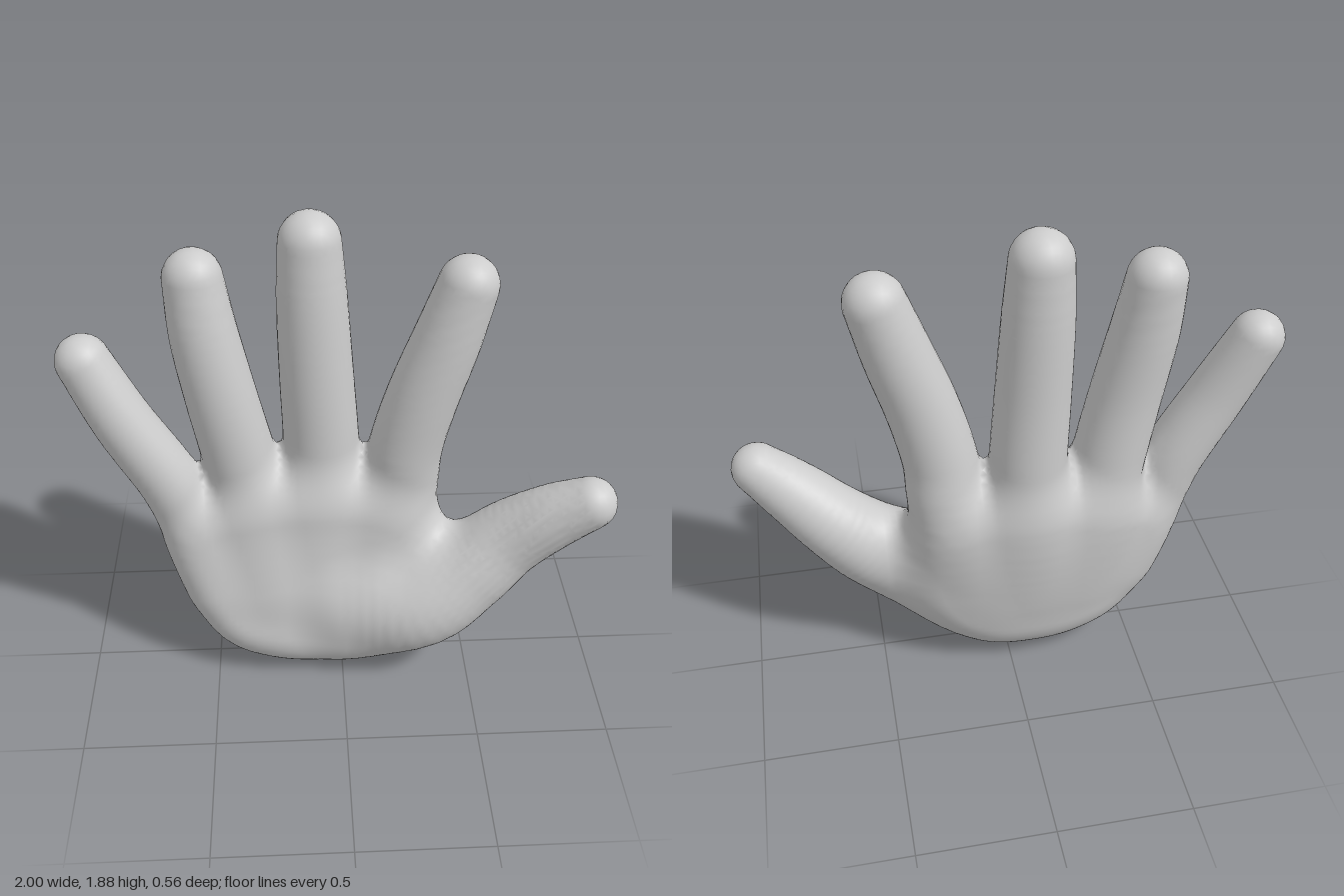
import * as THREE from 'three';
import { mergeVertices } from 'three/addons/utils/BufferGeometryUtils.js';

// Fingers as chains of [x, y, z, radius], from tip to a root sunk in the palm
const FINGERS = {
  littleFinger: [[-0.9, 1.362, -0.07, 0.098], [-0.785, 1.12, -0.048, 0.11], [-0.65, 0.87, -0.045, 0.117], [-0.592, 0.7, -0.045, 0.112], [-0.48, 0.4, -0.03, 0.1]],
  ringFinger: [[-0.498, 1.655, -0.105, 0.105], [-0.475, 1.45, -0.09, 0.121], [-0.43, 1.2, -0.08, 0.13], [-0.382, 0.95, -0.085, 0.136], [-0.34, 0.7, -0.09, 0.137], [-0.26, 0.4, -0.03, 0.12]],
  middleFinger: [[-0.1, 1.768, -0.125, 0.11], [-0.095, 1.55, -0.117, 0.125], [-0.083, 1.25, -0.11, 0.135], [-0.07, 0.97, -0.11, 0.142], [-0.07, 0.7, -0.105, 0.144], [-0.07, 0.4, -0.04, 0.12]],
  indexFinger: [[0.435, 1.632, -0.055, 0.107], [0.37, 1.42, -0.05, 0.122], [0.298, 1.2, -0.05, 0.131], [0.245, 0.98, -0.06, 0.137], [0.22, 0.75, -0.075, 0.143], [0.13, 0.45, -0.03, 0.12]],
  thumb: [[0.903, 0.853, 0.167, 0.098], [0.78, 0.755, 0.12, 0.123], [0.63, 0.615, 0.075, 0.147], [0.49, 0.475, 0.08, 0.168], [0.3, 0.33, 0.1, 0.178], [0.06, 0.3, 0.04, 0.15]],
};

// Centre outline of the palm; the flesh is rounded around it
const PALM = [[-0.25, 0.213], [-0.08, 0.2], [0.08, 0.207], [0.21, 0.29], [0.28, 0.45], [0.21, 0.67], [-0.07, 0.73], [-0.35, 0.7], [-0.53, 0.62], [-0.495, 0.44], [-0.39, 0.265]];

const { clamp, smoothstep } = THREE.MathUtils;

// Smooth runs of [x, y, z, radius] through the key points
function smoothChain(keys) {
  const path = new THREE.CatmullRomCurve3(keys.map(([x, y, z]) => new THREE.Vector3(x, y, z)), false, 'catmullrom');
  const radius = new THREE.CatmullRomCurve3(keys.map((k) => new THREE.Vector3(k[3], 0, 0)), false, 'catmullrom');
  const radii = radius.getPoints(28);
  return path.getPoints(28).map((p, i) => [p.x, p.y, p.z, radii[i].x]);
}

const outline = new THREE.CatmullRomCurve3(PALM.map(([x, y]) => new THREE.Vector3(x, y, 0)), true).getPoints(44);

function smoothMin(a, b, k) {
  const h = Math.max(k - Math.abs(a - b), 0) / k;
  return Math.min(a, b) - h * h * k * 0.25;
}

// Distance to a chain of tapered, round-ended segments
function chainDistance(chain, x, y, z) {
  let d = 9;
  for (let i = 0; i + 1 < chain.length; i++) {
    const [ax, ay, az, ar] = chain[i], [bx, by, bz, br] = chain[i + 1];
    const ux = bx - ax, uy = by - ay, uz = bz - az;
    const t = clamp(((x - ax) * ux + (y - ay) * uy + (z - az) * uz) / (ux * ux + uy * uy + uz * uz), 0, 1);
    const dx = x - ax - t * ux, dy = y - ay - t * uy, dz = z - az - t * uz;
    d = Math.min(d, Math.sqrt(dx * dx + dy * dy + dz * dz) - ar - t * (br - ar));
  }
  return d;
}

// Distance to the palm: an arched pad, thick in the middle and thin at the sides
function palmDistance(x, y, z) {
  let flat = 9, inside = false;
  for (let i = 0; i + 1 < outline.length; i++) {
    const a = outline[i], b = outline[i + 1], ux = b.x - a.x, uy = b.y - a.y;
    const t = clamp(((x - a.x) * ux + (y - a.y) * uy) / (ux * ux + uy * uy), 0, 1);
    const dx = x - a.x - t * ux, dy = y - a.y - t * uy;
    flat = Math.min(flat, dx * dx + dy * dy);
    if (a.y > y !== b.y > y && x < a.x + ((y - a.y) * ux) / uy) inside = !inside;
  }
  const side = clamp(x + 0.1, -0.55, 0.55) ** 2;
  const centre = 0.17 * side - 0.085 * smoothstep(y, -0.05, 0.7);
  const thickness = 0.2 - 0.26 * side - 0.04 * smoothstep(y, 0.3, 0.9);
  return Math.sqrt((inside ? 0 : flat) + (z - centre) ** 2) - thickness;
}

const PARTS = { palm: palmDistance };
for (const [name, keys] of Object.entries(FINGERS)) {
  const chain = smoothChain(keys);
  PARTS[name] = (x, y, z) => chainDistance(chain, x, y, z);
}
const partList = Object.values(PARTS);

// All parts melted together: tight webs between fingers, soft roots in the palm
function handDistance(x, y, z) {
  const [palm, little, ring, middle, index, thumb] = partList.map((part) => part(x, y, z));
  const fingers = [ring, middle, index].reduce((d, f) => smoothMin(d, f, 0.055), little);
  return smoothMin(smoothMin(palm, fingers, 0.12), thumb, 0.16);
}

function gradient([x, y, z]) {
  const e = 0.012;
  return new THREE.Vector3(
    handDistance(x + e, y, z) - handDistance(x - e, y, z),
    handDistance(x, y + e, z) - handDistance(x, y - e, z),
    handDistance(x, y, z + e) - handDistance(x, y, z - e),
  ).divideScalar(2 * e);
}

export function createModel() {
  // Sample the form on a grid
  const step = 0.025, origin = [-1.1, -0.1, -0.4], size = [90, 84, 32];
  const stride = [1, size[0], size[0] * size[1]];
  const field = new Float32Array(size[0] * size[1] * size[2]);
  const eachCell = (start, visit) => {
    for (let k = start; k < size[2] - 1; k++)
      for (let j = start; j < size[1] - 1; j++)
        for (let i = start; i < size[0] - 1; i++) visit([i, j, k], i + j * stride[1] + k * stride[2]);
  };
  for (let n = 0; n < field.length; n++) {
    const cell = [n % size[0], Math.floor(n / stride[1]) % size[1], Math.floor(n / stride[2])];
    field[n] = handDistance(...cell.map((c, a) => origin[a] + c * step));
  }

  // One skin vertex in every cell that the surface crosses, pulled onto the surface
  const positions = [], normals = [], owners = [], vertexOf = new Map();
  eachCell(0, (cell, n) => {
    const sum = [0, 0, 0];
    let crossings = 0;
    for (let corner = 0; corner < 8; corner++) {
      const bits = [corner & 1, (corner >> 1) & 1, corner >> 2];
      const m = n + bits[0] * stride[0] + bits[1] * stride[1] + bits[2] * stride[2];
      for (let a = 0; a < 3; a++) {
        const p = field[m], q = field[m + stride[a]];
        if (bits[a] || (p < 0) === (q < 0)) continue;
        crossings++;
        for (let b = 0; b < 3; b++) sum[b] += bits[b] + (a === b ? p / (p - q) : 0);
      }
    }
    if (!crossings) return;
    const point = sum.map((s, a) => origin[a] + (cell[a] + s / crossings) * step);
    for (let pass = 0; pass < 2; pass++) {
      const g = gradient(point), move = handDistance(...point) / Math.max(g.lengthSq(), 0.3);
      g.toArray().forEach((v, a) => { point[a] -= clamp(v * move, -step / 2, step / 2); });
    }
    const distances = partList.map((part) => part(...point));
    vertexOf.set(n, owners.length);
    owners.push(distances.indexOf(Math.min(...distances)));
    positions.push(...point);
    normals.push(...gradient(point).normalize().toArray());
  });

  // Join the four cells around every crossed grid edge, sorted by part
  const faces = partList.map(() => []);
  eachCell(1, (cell, n) => {
    for (let a = 0; a < 3; a++) {
      const inside = field[n] < 0;
      if (inside === field[n + stride[a]] < 0) continue;
      const b = stride[(a + 1) % 3], c = stride[(a + 2) % 3];
      const quad = [n, n - b, n - b - c, n - c].map((m) => vertexOf.get(m));
      if (!inside) quad.reverse();
      const [p, q, r, s] = quad;
      faces[owners[p]].push(p, q, r, p, r, s);
    }
  });

  // One mesh per part, sharing seamless normals
  const skin = new THREE.MeshStandardMaterial({ color: 0xcccccc });
  skin.name = 'skin grey';
  const hand = new THREE.Group();
  hand.name = 'hand';
  Object.keys(PARTS).forEach((name, i) => {
    const shared = new THREE.BufferGeometry();
    shared.setAttribute('position', new THREE.Float32BufferAttribute(positions, 3));
    shared.setAttribute('normal', new THREE.Float32BufferAttribute(normals, 3));
    shared.setIndex(faces[i]);
    const mesh = new THREE.Mesh(mergeVertices(shared.toNonIndexed(), 1e-5), skin);
    mesh.name = name;
    hand.add(mesh);
  });
  return hand;
}
